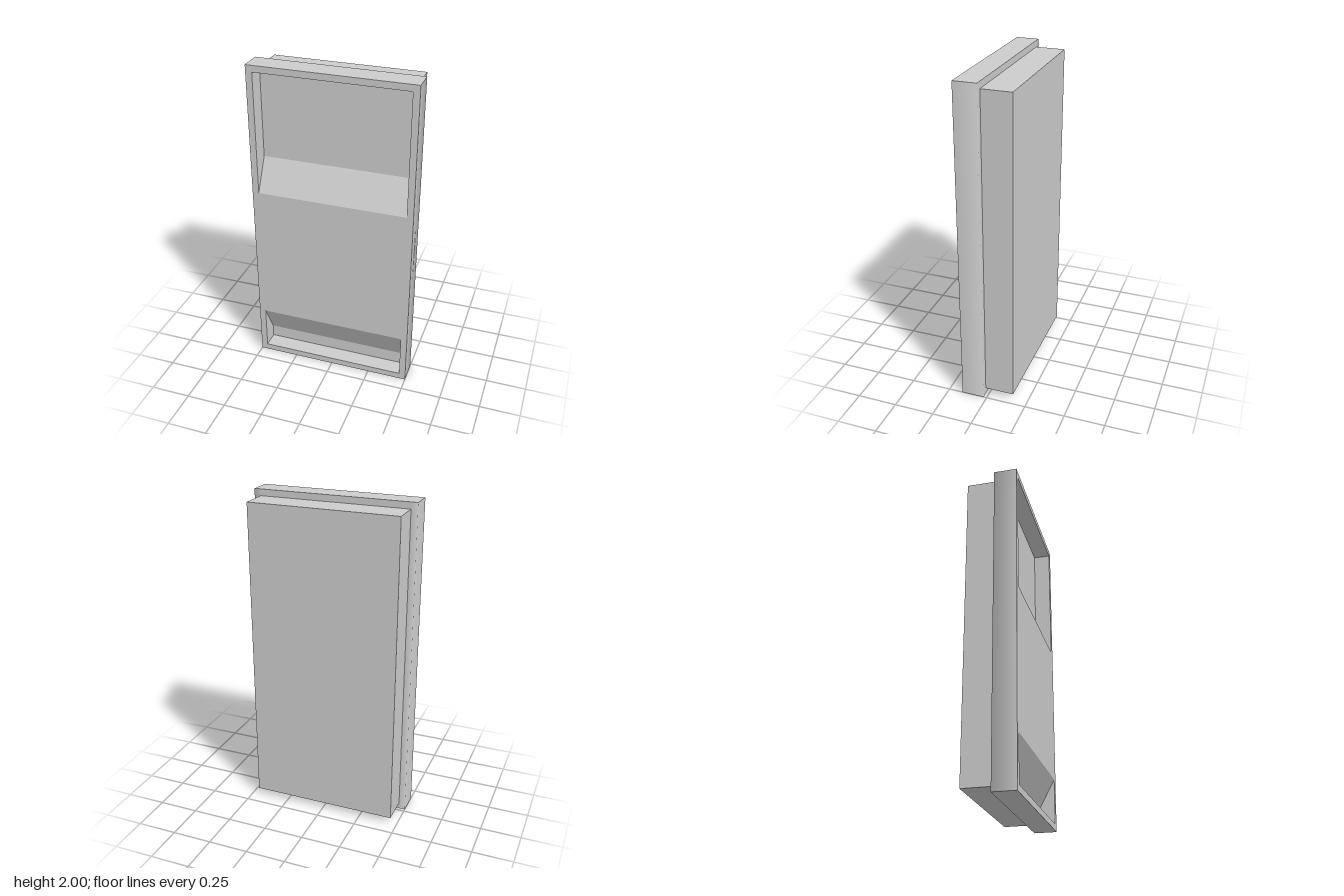
import * as THREE from 'three';

const material = new THREE.MeshStandardMaterial({ color: 0xcccccc });

// Main planes of the cabinet
const H = 2, HALF_W = 0.5, RIM = 0.04;
const BACK = -0.16, FRAME_BACK = 0.02, FLOOR = 0.055, FRONT = 0.16;
const INNER = HALF_W - RIM;

function block(name, x0, x1, y0, y1, z0, z1) {
  const geometry = new THREE.BoxGeometry(x1 - x0, y1 - y0, z1 - z0);
  geometry.translate((x0 + x1) / 2, (y0 + y1) / 2, (z0 + z1) / 2);
  const mesh = new THREE.Mesh(geometry, material);
  mesh.name = name;
  return mesh;
}

// Blend the shading around the outer rear edge of a post
function softenRearEdge(mesh, side) {
  const { position: p, normal: n } = mesh.geometry.attributes;
  for (let i = 0; i < p.count; i++) {
    const onEdge = p.getX(i) * side > HALF_W - 0.001 && p.getZ(i) < FRAME_BACK + 0.001;
    const blends = n.getX(i) * side > 0.9 || n.getZ(i) < -0.9;
    if (onEdge && blends) n.setXYZ(i, side * Math.SQRT1_2, 0, -Math.SQRT1_2);
  }
  return mesh;
}

export function createModel() {
  const model = new THREE.Group();
  model.name = 'recessedCabinet';

  // Rear body; its front face is the floor of both openings
  model.add(block('rearBody', -INNER, INNER, RIM, H - RIM, BACK, FLOOR));

  // Front frame: two posts and two rails
  const frame = new THREE.Group();
  frame.name = 'frontFrame';
  for (const side of [-1, 1]) {
    const xs = [side * INNER, side * HALF_W].sort((a, b) => a - b);
    const name = side > 0 ? 'leftPost' : 'rightPost';
    frame.add(softenRearEdge(block(name, xs[0], xs[1], 0, H, FRAME_BACK, FRONT), side));
  }
  frame.add(block('bottomRail', -INNER, INNER, 0, RIM, FRAME_BACK, FRONT));
  frame.add(block('topRail', -INNER, INNER, H - RIM, H, FRAME_BACK, FRONT));
  model.add(frame);

  // Middle panel with sloping upper and lower ends, drawn as (-z, y) and extruded along x
  const profile = new THREE.Shape([
    new THREE.Vector2(-FLOOR, 0.12),
    new THREE.Vector2(-FLOOR, 1.4),
    new THREE.Vector2(-FRONT, 1.2),
    new THREE.Vector2(-FRONT, 0.32),
  ]);
  const geometry = new THREE.ExtrudeGeometry(profile, { depth: 2 * INNER, bevelEnabled: false });
  geometry.rotateY(Math.PI / 2).translate(-INNER, 0, 0);
  const panel = new THREE.Mesh(geometry, material);
  panel.name = 'middlePanel';
  model.add(panel);

  return model;
}
